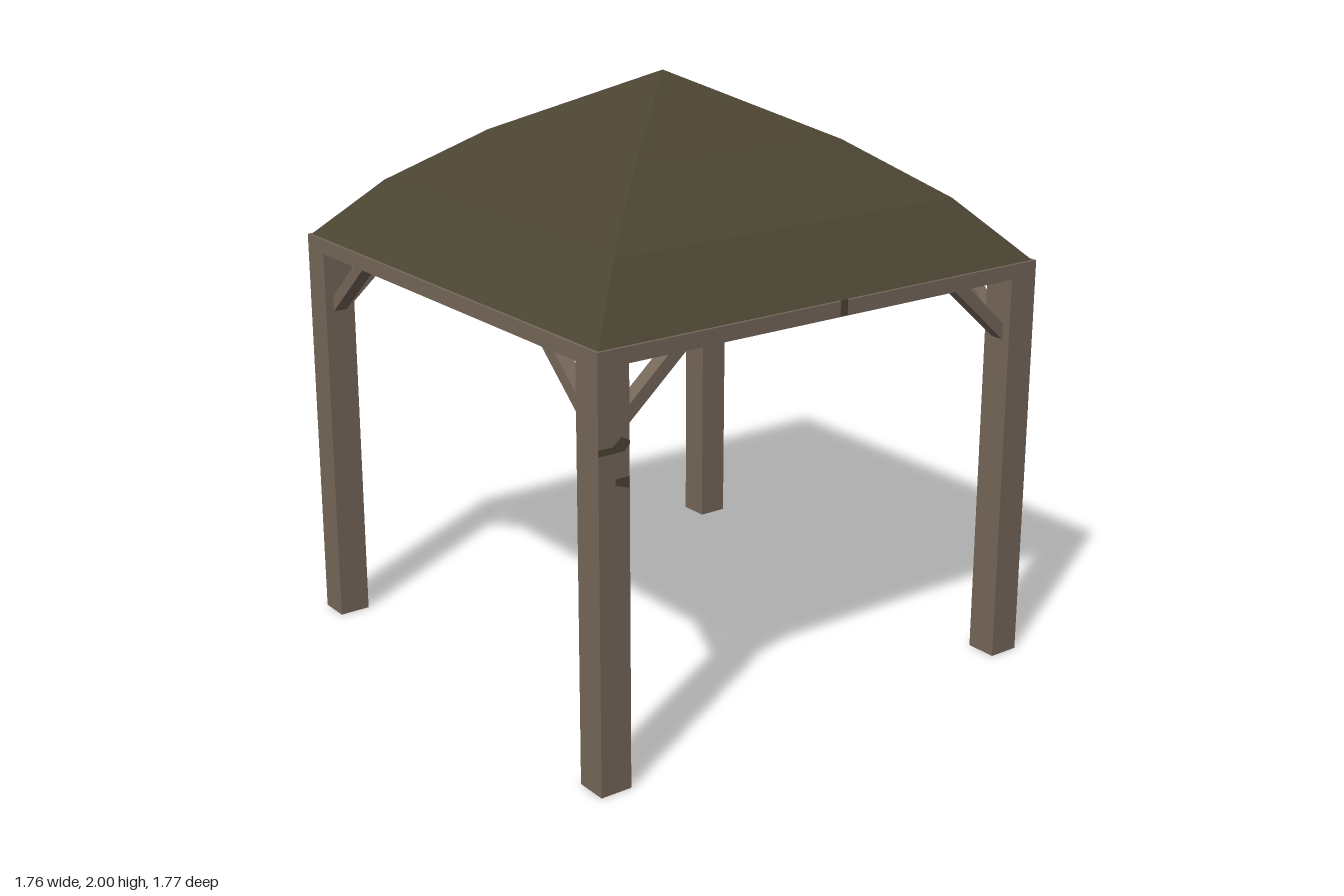
import * as THREE from 'three';

const HALF = 0.88;      // outer half width of the frame
const POST = 0.11;      // post thickness
const EAVE = 1.4;       // top of the beams
const BEAM = 1.35;      // underside of the beams

function squarePath(Type, h) {
  const p = new Type();
  p.moveTo(-h, -h);
  p.lineTo(h, -h);
  p.lineTo(h, h);
  p.lineTo(-h, h);
  p.closePath();
  return p;
}

function polygon(points) {
  return new THREE.Shape(points.map(([x, y]) => new THREE.Vector2(x, y)));
}

export function createModel() {
  const model = new THREE.Group();
  const wood = new THREE.MeshStandardMaterial({ color: 0x76675a, side: THREE.DoubleSide, flatShading: true });
  wood.name = 'weathered wood';
  const thatch = new THREE.MeshStandardMaterial({ color: 0x4b4432, flatShading: true });
  thatch.name = 'dark olive roof';

  const add = (name, geometry, material, parent = model) => {
    const mesh = new THREE.Mesh(geometry, material);
    mesh.name = name;
    parent.add(mesh);
    return mesh;
  };

  // Four-sided curved roof
  const profile = [[0.87, EAVE], [0.68, 1.6], [0.42, 1.785], [0, 2]]
    .map(([h, y]) => new THREE.Vector2(h * Math.SQRT2, y));
  add('roof', new THREE.LatheGeometry(profile, 4, Math.PI / 4), thatch);

  // Beam frame with a recessed ceiling
  const ring = squarePath(THREE.Shape, HALF);
  ring.holes.push(squarePath(THREE.Path, 0.68));
  const frame = new THREE.ExtrudeGeometry(ring, { depth: EAVE - BEAM, bevelEnabled: false });
  frame.rotateX(-Math.PI / 2).translate(0, BEAM, 0);
  add('beamFrame', frame, wood);
  const ceiling = new THREE.PlaneGeometry(1.37, 1.37);
  ceiling.rotateX(Math.PI / 2).translate(0, EAVE - 0.005, 0);
  add('ceiling', ceiling, wood);

  // Hollow posts, open at the foot
  const centre = HALF - POST / 2;
  const radius = POST / Math.SQRT2;
  const postGeometry = new THREE.CylinderGeometry(radius, radius, BEAM, 4, 1, true, Math.PI / 4);
  postGeometry.translate(0, BEAM / 2, 0);
  for (const x of [-1, 1]) {
    for (const z of [-1, 1]) {
      add('post', postGeometry, wood).position.set(x * centre, 0, z * centre);
    }
  }

  // Pair of diagonal braces on each side
  for (let k = 0; k < 4; k++) {
    const side = new THREE.Group();
    side.name = 'braceSide';
    side.rotation.y = k * Math.PI / 2;
    model.add(side);
    for (const s of [-1, 1]) {
      const shape = polygon([[s * 0.77, 1.14], [s * 0.77, 1.195], [s * 0.595, BEAM], [s * 0.53, BEAM]]);
      const brace = new THREE.ExtrudeGeometry(shape, { depth: 0.05, bevelEnabled: false });
      brace.translate(0, 0, centre - 0.025);
      add('brace', brace, wood, side);
    }
  }

  // Small dark marks on the beams
  const markGeometry = new THREE.BoxGeometry(0.028, 0.05, 0.004);
  for (const [x, z, turn] of [[0.04, HALF, 0], [HALF, -0.04, Math.PI / 2], [0.04, -HALF, 0]]) {
    const mark = add('beamMark', markGeometry, thatch);
    mark.position.set(x, 1.378, z);
    mark.rotation.y = turn;
  }

  // Dark patches on the front right post
  const patches = [
    [[-0.88, 1.09], [-0.79, 1.09], [-0.77, 1.11], [-0.77, 1.12], [-0.8, 1.135], [-0.83, 1.11], [-0.88, 1.11]],
    [[-0.82, 0.99], [-0.775, 0.975], [-0.775, 1.01], [-0.82, 1.01]],
  ];
  for (const points of patches) {
    const patch = new THREE.ExtrudeGeometry(polygon(points), { depth: 0.003, bevelEnabled: false });
    add('postPatch', patch.translate(0, 0, HALF), thatch);
  }

  return model;
}
